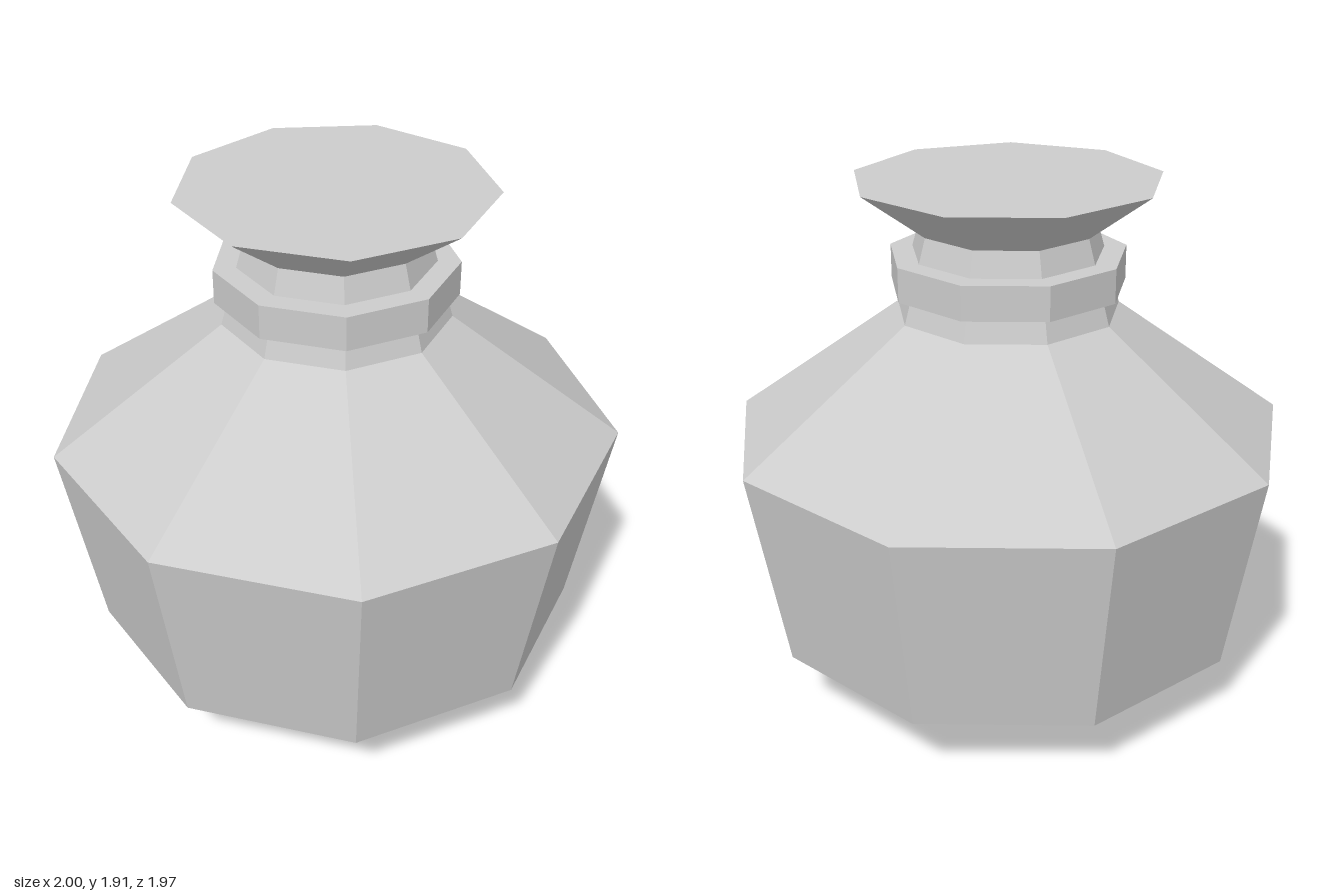
import * as THREE from 'three';

const SIDES = 9;

export function createModel() {
  const group = new THREE.Group();
  group.name = 'bottle';

  const grey = new THREE.MeshStandardMaterial({ color: 0xcccccc, flatShading: true });
  grey.name = 'plain grey';

  // Nine-sided part from a [radius, height] profile, running bottom to top; one corner faces the back
  function addPart(name, profile) {
    const points = profile.map(([r, y]) => new THREE.Vector2(r, y));
    const mesh = new THREE.Mesh(new THREE.LatheGeometry(points, SIDES, Math.PI), grey);
    mesh.name = name;
    mesh.position.z = 0.03; // the odd-sided outline is centred by its extents
    group.add(mesh);
  }

  // Closed base, slightly flared wall and sloping shoulder
  addPart('body', [[0, 0], [0.4, 0], [0.89, 0.26], [1.015, 1.0], [0.402, 1.444]]);

  // Tapered neck
  addPart('neck', [[0.402, 1.444], [0.318, 1.74]]);

  // Raised collar, its ends meeting the neck
  addPart('collar', [[0.378, 1.53], [0.423, 1.53], [0.423, 1.652], [0.343, 1.652]]);

  // Flared stopper with a flat top
  addPart('stopper', [[0.318, 1.74], [0.545, 1.909], [0, 1.909]]);

  return group;
}
